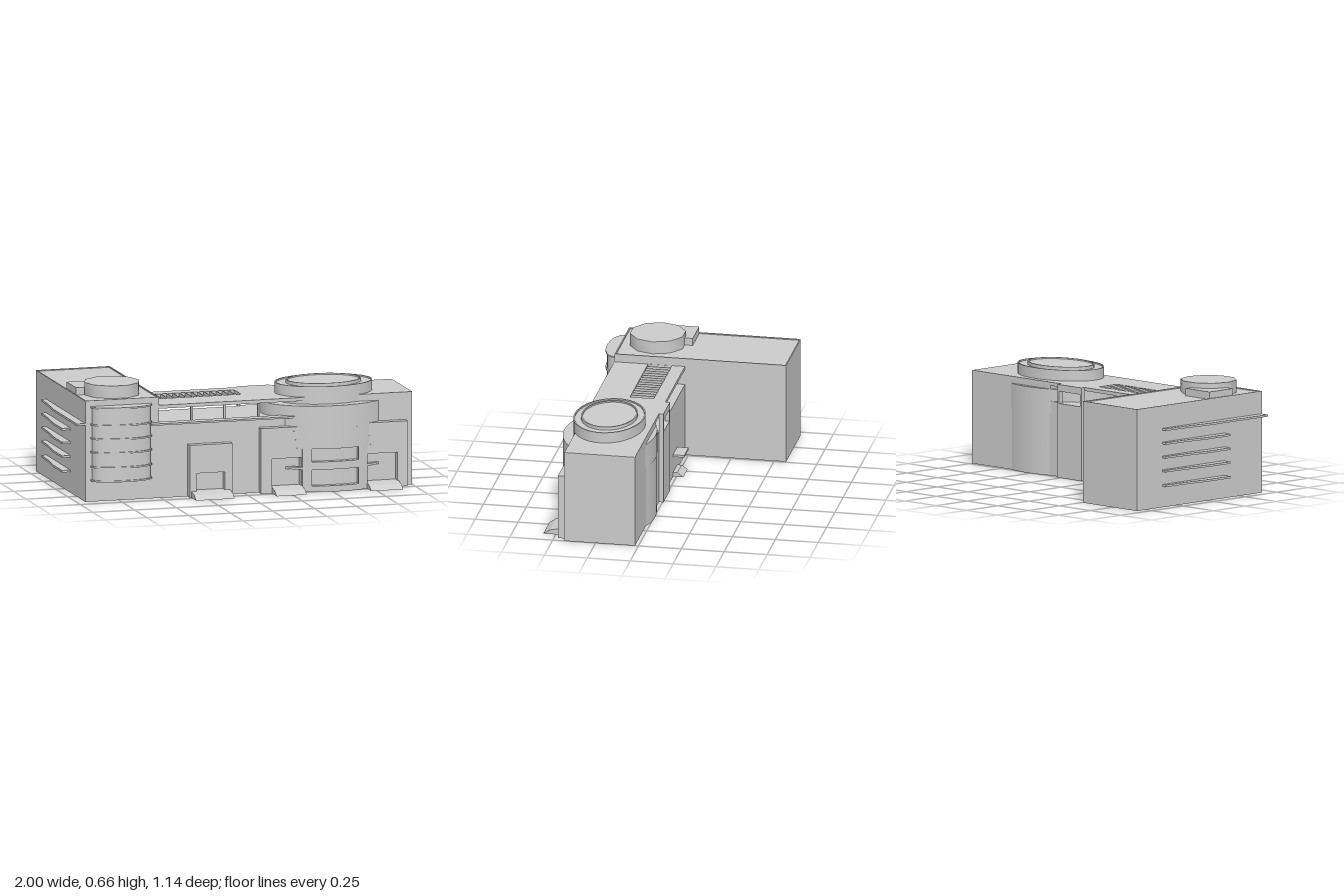
import * as THREE from 'three';
import { toCreasedNormals } from 'three/addons/utils/BufferGeometryUtils.js';

export function createModel() {
  const model = new THREE.Group();
  const mat = new THREE.MeshStandardMaterial({ color: 0xcccccc, side: THREE.DoubleSide });

  const add = (name, geo) => {
    const mesh = new THREE.Mesh(geo, mat);
    mesh.name = name;
    model.add(mesh);
    return mesh;
  };
  // Box from its limits on each axis
  const box = (name, x0, x1, y0, y1, z0, z1) =>
    add(name, new THREE.BoxGeometry(x1 - x0, y1 - y0, z1 - z0)
      .translate((x0 + x1) / 2, (y0 + y1) / 2, (z0 + z1) / 2));
  // Hollow block: a box without its bottom face
  const openBox = (...args) => {
    const geo = box(...args).geometry;
    const index = Array.from(geo.index.array);
    index.splice(18, 6);
    geo.setIndex(index);
    geo.clearGroups();
  };
  const outline = pts => pts.map(([x, z]) => new THREE.Vector2(x, -z));
  const rect = (x0, x1, z0, z1) => [[x0, z0], [x1, z0], [x1, z1], [x0, z1]];
  // Plan outline in (x, z), raised from y0 to y1
  const slab = (name, pts, y0, y1, holes = []) => {
    const shape = new THREE.Shape(outline(pts));
    holes.forEach(h => shape.holes.push(new THREE.Path(outline(h))));
    const geo = new THREE.ExtrudeGeometry(shape, { depth: y1 - y0, bevelEnabled: false });
    geo.rotateX(-Math.PI / 2).translate(0, y0, 0);
    return add(name, toCreasedNormals(geo, 0.7));
  };
  const ellipse = (cx, cz, rx, rz, n) => Array.from({ length: n }, (_, i) => {
    const a = (i / n) * Math.PI * 2;
    return [cx + rx * Math.cos(a), cz + rz * Math.sin(a)];
  });

  // Tower block with roof rim, drum and plant box
  openBox('towerBlock', -0.95, -0.51, 0, 0.582, -0.57, 0.43);
  slab('towerRoofRim', rect(-0.95, -0.51, -0.57, 0.43), 0.58, 0.588,
    [rect(-0.943, -0.517, -0.563, 0.423)]);
  slab('roofDrum', ellipse(-0.73, 0.22, 0.163, 0.161, 10), 0.58, 0.655);
  box('roofPlantBox', -0.94, -0.745, 0.58, 0.625, 0.02, 0.21);

  // Curved bay on the tower front with thin floor bands
  const bay = (grow) => {
    const pts = [];
    for (let i = 0; i <= 16; i++) {
      const t = Math.PI * i / 16;
      pts.push([-0.737 - (0.173 + grow) * Math.cos(t),
        0.43 + (0.08 + grow) * Math.pow(Math.sin(t), 0.8)]);
    }
    return pts;
  };
  slab('curvedBay', bay(0), 0.125, 0.55);
  for (const y of [0.12, 0.2, 0.285, 0.365, 0.445, 0.545])
    slab('bayBand', bay(0.008), y, y + 0.009);

  // Sun fins on the tower side; the top one runs to the front
  for (const y of [0.12, 0.205, 0.285, 0.365, 0.445]) {
    const end = y > 0.44 ? 0.43 : 0.13;
    slab('sideFin', [[-0.95, -0.365], [-0.978, -0.365], [-0.985, -0.2], [-1, -0.05],
      [-1, end], [-0.95, end]], y, y + 0.012);
  }

  // Long wing: hollow lower storeys, terrace on top, taller end part
  openBox('longWing', -0.51, 1, 0, 0.43, 0.02, 0.432);
  openBox('endWingTop', 0.36, 1, 0.43, 0.54, 0.02, 0.432);
  box('terraceLedge', -0.57, 0.29, 0.43, 0.44, 0.41, 0.472);

  // Roof slab with slots between the pergola bars
  const slots = [];
  for (let i = 0; i < 15; i++) {
    const x = -0.508 + i * 0.0367;
    slots.push(rect(x, x + 0.032, 0.095, 0.235));
  }
  slab('pergolaRoof', rect(-0.51, 0.36, 0.02, 0.432), 0.52, 0.54, slots);
  for (const x of [-0.31, -0.115, 0.09])
    box('terraceColumn', x - 0.007, x + 0.007, 0.43, 0.52, 0.405, 0.42);

  // Rear pilaster, open at terrace level under a beam on two posts
  openBox('rearPilaster', 0.08, 0.275, 0, 0.43, -0.006, 0.02);
  box('rearBeam', 0.08, 0.275, 0.5, 0.54, -0.006, 0.02);
  for (const x of [0.08, 0.262]) box('rearPost', x, x + 0.013, 0.43, 0.5, -0.006, 0.02);
  box('rearCanopy', -0.28, -0.15, 0.12, 0.133, -0.045, 0.02);

  // Oval hall: upper body, rear bulge, wide ring and cap
  const CX = 0.52, CZ = 0.258, RX = 0.37;
  const arc = (x0, x1, rz) => Array.from({ length: 17 }, (_, i) => {
    const x = x0 + (x1 - x0) * i / 16;
    return [x, CZ + rz * Math.sqrt(1 - ((x - CX) / RX) ** 2)];
  });
  // Curved wall following the oval front
  const curved = (name, x0, x1, y0, y1, rz = 0.266, thick = 0.04) =>
    slab(name, [...arc(x0, x1, rz), ...arc(x0, x1, rz - thick).reverse()], y0, y1);
  slab('ovalHall', ellipse(CX, CZ, RX, 0.266, 48), 0.36, 0.5);
  slab('ovalRear', arc(0.365, 0.675, -0.263), 0, 0.5);
  for (const [part, rx, rz, y0, y1] of [['ovalRing', 0.286, 0.204, 0.5, 0.602],
    ['ovalCap', 0.22, 0.16, 0.59, 0.613]]) {
    const edge = ellipse(CX, CZ + 0.003, rx, rz, 40);
    slab(part, edge, y0, y1 - 0.008);
    slab(part + 'Rim', edge, y1 - 0.01, y1, [ellipse(CX, CZ + 0.003, rx - 0.008, rz - 0.008, 40)]);
  }

  // Lower hall front: recessed wall with window surround
  curved('hallMiddle', 0.31, 0.73, 0.25, 0.37);
  curved('hallCore', 0.33, 0.72, 0, 0.25, 0.23, 0.01);
  curved('hallBase', 0.33, 0.72, 0, 0.035);
  curved('hallSpandrel', 0.38, 0.66, 0.13, 0.175);
  curved('hallPier', 0.33, 0.38, 0, 0.25);
  curved('hallPier', 0.66, 0.72, 0, 0.25);
  curved('hallCanopy', 0.22, 0.84, 0.13, 0.143, 0.264);

  // Small fins either side of the hall
  for (const y of [0.235, 0.285, 0.335])
    for (const s of [-1, 1])
      box('hallFin', CX + s * 0.23 - 0.02, CX + s * 0.23 + 0.02, y, y + 0.02, 0.43, 0.479);

  // Side profile in (z, y) drawn along x
  const ramp = (name, x0, x1, pts) => {
    const s = new THREE.Shape(pts.map(([z, y]) => new THREE.Vector2(-z, y)));
    add(name, new THREE.ExtrudeGeometry(s, { depth: x1 - x0, bevelEnabled: false })
      .rotateY(Math.PI / 2).translate(x0, 0, 0));
  };
  // Entrance panels with a door notch, and a ramp before each
  const entrance = (x0, x1, top, d0, d1, doorTop, r0, r1) => {
    const s = new THREE.Shape([[x0, 0], [d0, 0], [d0, doorTop], [d1, doorTop], [d1, 0], [x1, 0],
      [x1, top], [x0, top]].map(p => new THREE.Vector2(...p)));
    add('entrancePanel', new THREE.ExtrudeGeometry(s, { depth: 0.046, bevelEnabled: false })
      .translate(0, 0, 0.431));
    ramp('entranceRamp', r0, r1, [[0.432, 0], [0.573, 0], [0.535, 0.025], [0.48, 0.036], [0.432, 0.036]]);
  };
  entrance(-0.34, -0.085, 0.305, -0.3, -0.13, 0.14, -0.33, -0.1);
  entrance(0.085, 0.33, 0.38, 0.15, 0.325, 0.2, 0.15, 0.33);
  entrance(0.715, 0.96, 0.38, 0.72, 0.9, 0.2, 0.715, 0.905);
  ramp('rearRamp', -0.28, -0.15, [[0.02, 0], [-0.04, 0], [-0.005, 0.025], [0.02, 0.025]]);

  return model;
}
